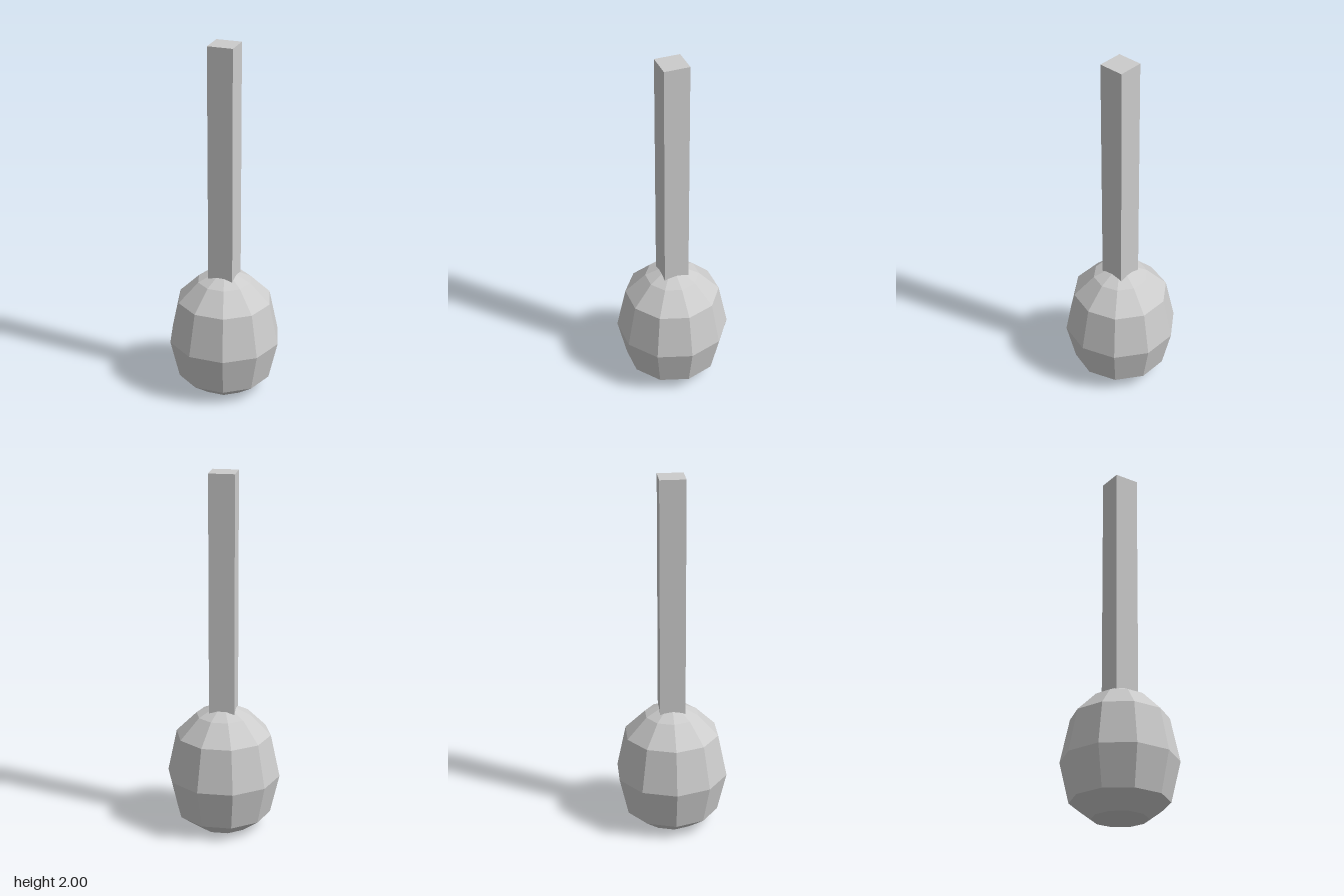
import * as THREE from 'three';

export function createModel() {
  const model = new THREE.Group();
  const grey = new THREE.MeshStandardMaterial({ color: 0xcccccc, flatShading: true });
  grey.name = 'light grey';

  // Ten-sided bulb with a flat base, corners on the x axis
  const profile = [
    [0, 0], [0.15, 0], [0.264, 0.085], [0.315, 0.305],
    [0.264, 0.545], [0.151, 0.657], [0, 0.73],
  ].map(([r, y]) => new THREE.Vector2(r, y));
  const bulb = new THREE.Mesh(new THREE.LatheGeometry(profile, 10, Math.PI / 2), grey);
  bulb.name = 'bulb';

  // Square handle sunk into the top of the bulb
  const bottom = 0.6;
  const handle = new THREE.Mesh(new THREE.BoxGeometry(0.14, 2 - bottom, 0.14), grey);
  handle.name = 'handle';
  handle.position.y = (2 + bottom) / 2;

  model.add(bulb, handle);
  return model;
}
